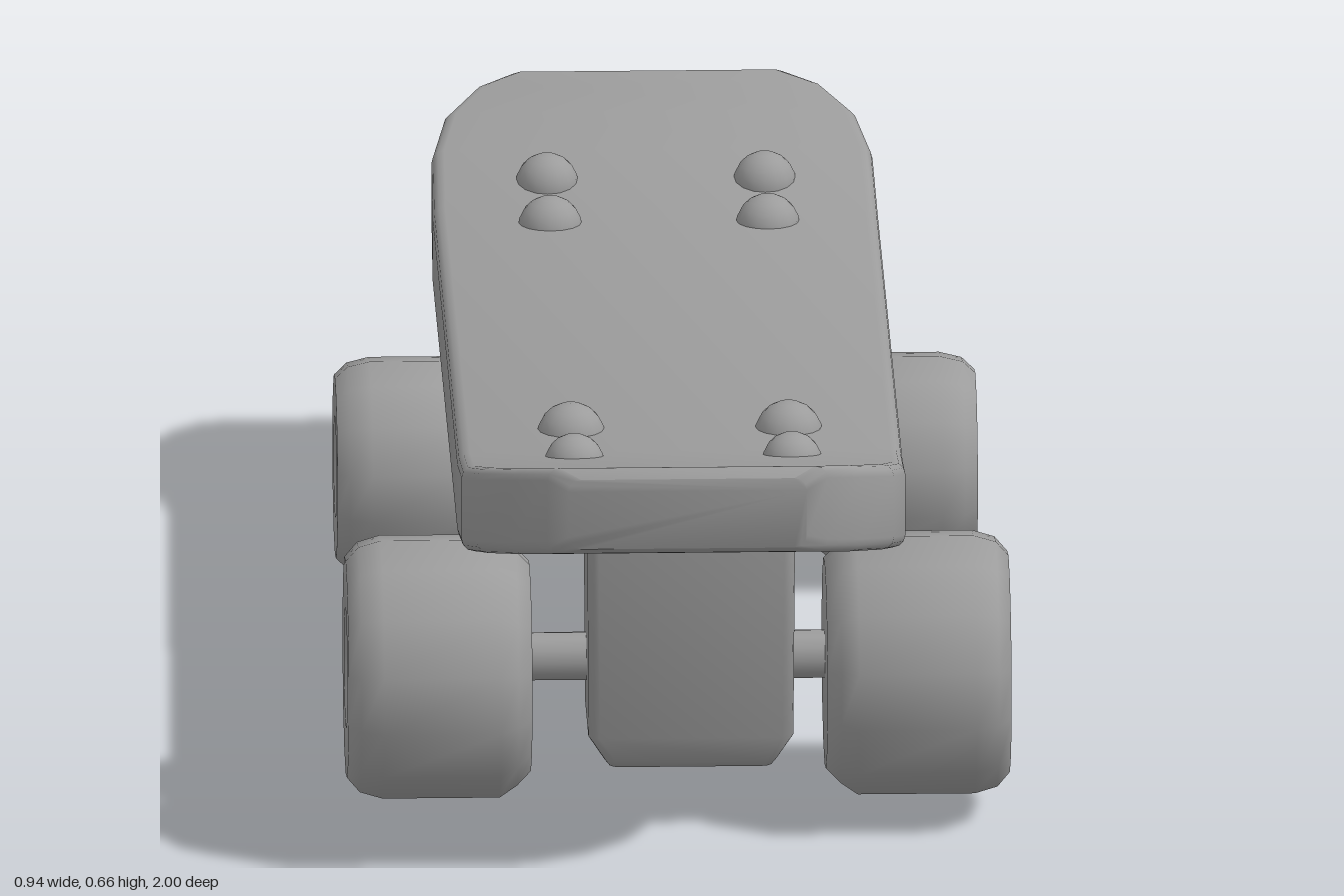
import * as THREE from 'three';
import { toCreasedNormals } from 'three/addons/utils/BufferGeometryUtils.js';

const material = new THREE.MeshStandardMaterial({ color: 0x9c9c9c });

function addMesh(parent, name, geometry, x = 0, y = 0, z = 0) {
  const mesh = new THREE.Mesh(geometry, material);
  mesh.name = name;
  mesh.position.set(x, y, z);
  parent.add(mesh);
  return mesh;
}

// Skin a list of equal-length rings (counter-clockwise seen from the last ring) and cap both ends
function loft(rings, crease) {
  const n = rings[0].length;
  const index = [];
  const points = rings.flat();
  for (let i = 0; i < rings.length - 1; i++) {
    for (let j = 0; j < n; j++) {
      const a = i * n + j, b = i * n + (j + 1) % n;
      index.push(a, b, a + n, b, b + n, a + n);
    }
  }
  const last = (rings.length - 1) * n;
  for (let j = 1; j < n - 1; j++) {
    index.push(0, j + 1, j, last, last + j, last + j + 1);
  }
  const geometry = new THREE.BufferGeometry();
  geometry.setAttribute('position', new THREE.Float32BufferAttribute(points.flat(), 3));
  geometry.setIndex(index);
  return toCreasedNormals(geometry, crease);
}

// Rectangle with rounded corners, counter-clockwise
function roundRect(hw, hh, r) {
  const ring = [];
  [[1, 1], [-1, 1], [-1, -1], [1, -1]].forEach(([sx, sy], corner) => {
    for (let k = 0; k <= 3; k++) {
      const a = (corner + k / 3) * Math.PI / 2;
      ring.push([sx * (hw - r) + r * Math.cos(a), sy * (hh - r) + r * Math.sin(a)]);
    }
  });
  return ring;
}

// Deck stations: z, half width, top, bottom
function deckGeometry() {
  const stations = [
    [-1, 0.17, 0.595, 0.505], [-0.985, 0.2, 0.607, 0.49], [-0.95, 0.25, 0.599, 0.482],
    [-0.88, 0.294, 0.581, 0.462], [-0.78, 0.314, 0.558, 0.434], [-0.62, 0.317, 0.525, 0.398],
    [0.61, 0.317, 0.565, 0.433], [0.78, 0.316, 0.602, 0.474], [0.88, 0.297, 0.632, 0.504],
    [0.95, 0.25, 0.654, 0.525], [0.985, 0.2, 0.665, 0.537], [1, 0.17, 0.652, 0.548],
  ];
  const rings = stations.map(([z, hw, top, bottom]) =>
    roundRect(hw, (top - bottom) / 2, 0.018).map(([x, y]) => [x, y + (top + bottom) / 2, z]));
  return loft(rings, 0.85);
}

// Tapered block with a softened foot; levels: y, half width, half depth
function truckGeometry(levels) {
  const rings = levels.map(([y, hw, hd]) =>
    roundRect(hw, hd, 0.016).map(([x, d]) => [x, y, -d]));
  return loft(rings, 0.9);
}

// Wheel turned about y, inner face at 0, recessed hub on the outer face
function wheelGeometry(r, width) {
  const hub = r * 0.41;
  const profile = [
    [0, 0], [r * 0.8, 0], [r * 0.91, 0.02], [r, 0.045],
    [r, width - 0.05], [r * 0.95, width - 0.018], [r * 0.84, width],
    [hub + 0.01, width], [hub, width - 0.01], [hub, width - 0.07], [0, width - 0.07],
  ].map(([x, y]) => new THREE.Vector2(x, y));
  return toCreasedNormals(new THREE.LatheGeometry(profile, 14, Math.PI / 2), 0.8);
}

export function createModel() {
  const model = new THREE.Group();
  model.name = 'skateboard';

  addMesh(model, 'deck', deckGeometry(), 0.002);

  // Truck block, axle and pair of wheels at each end
  const ends = [
    {
      name: 'front', z: 0.537, y: 0.221, r: 0.189, inner: 0.21, outer: 0.472,
      axleY: 0.235, axleR: 0.035, blockZ: 0.55,
      levels: [[0.095, 0.117, 0.07], [0.106, 0.123, 0.081], [0.145, 0.146, 0.094], [0.47, 0.148, 0.114]],
    },
    {
      name: 'rear', z: -0.555, y: 0.16, r: 0.157, inner: 0.232, outer: 0.456,
      axleY: 0.172, axleR: 0.03, blockZ: -0.55,
      levels: [[0.098, 0.115, 0.065], [0.109, 0.121, 0.076], [0.145, 0.143, 0.087], [0.44, 0.145, 0.115]],
    },
  ];
  for (const e of ends) {
    const truck = new THREE.Group();
    truck.name = e.name + 'Truck';
    model.add(truck);
    addMesh(truck, 'truckBlock', truckGeometry(e.levels), 0.017, 0, e.blockZ);
    const axle = new THREE.CylinderGeometry(e.axleR, e.axleR, 2 * e.inner + 0.06, 12);
    addMesh(truck, 'axle', axle, 0, e.axleY, e.z).rotation.z = Math.PI / 2;
    const wheel = wheelGeometry(e.r, e.outer - e.inner);
    for (const side of [1, -1]) {
      const name = side > 0 ? 'leftWheel' : 'rightWheel';
      addMesh(truck, name, wheel, side * e.inner, e.y, e.z).rotation.z = -side * Math.PI / 2;
    }
  }

  // Domed bolts in four rows: z, centre height, radius
  const rows = [[0.664, 0.566, 0.043], [0.492, 0.55, 0.049], [-0.543, 0.52, 0.046], [-0.7, 0.533, 0.045]];
  for (const [z, y, r] of rows) {
    const bolt = new THREE.SphereGeometry(r, 16, 10);
    for (const x of [-0.15, 0.16]) addMesh(model, 'bolt', bolt, x, y, z);
  }
  return model;
}
